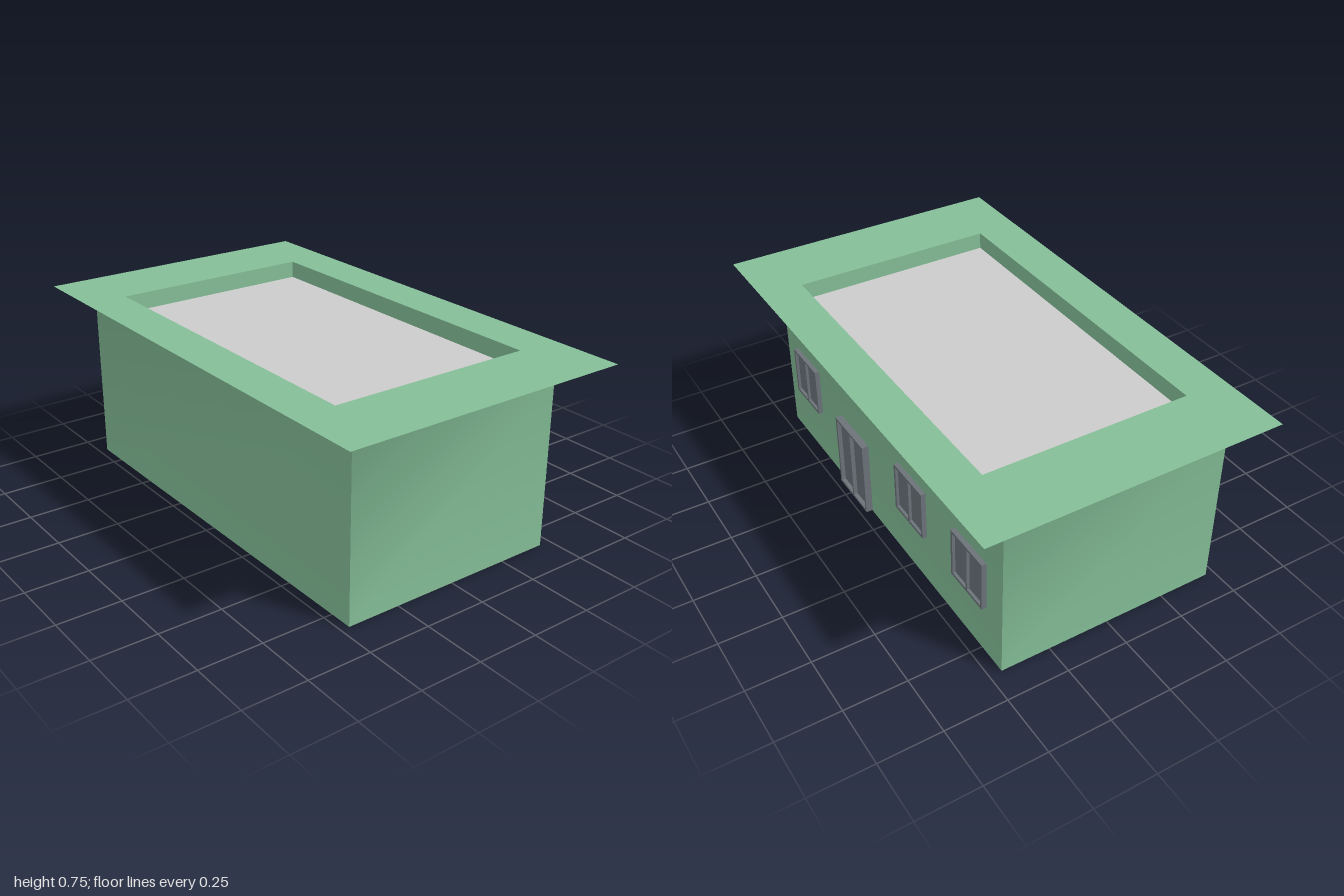
import * as THREE from 'three';

const wallPaint = new THREE.MeshStandardMaterial({ color: 0x84be97 });
const roofGrey = new THREE.MeshStandardMaterial({ color: 0xcccccc });
const darkMetal = new THREE.MeshStandardMaterial({ color: 0x6b7378 });

// Rectangles as [x0, x1, z0, z1]
const WALL = [-0.465, 0.45, -0.88, 0.845];
const EAVE = [-0.595, 0.595, -1, 1];
const WELL = [-0.42, 0.42, -0.7, 0.7];
const WALL_TOP = 0.655, EAVE_TOP = 0.745, WELL_FLOOR = 0.675;

// Corners of a rectangle, counter-clockwise seen from above
const corners = ([x0, x1, z0, z1], y) => [[x0, y, z1], [x1, y, z1], [x1, y, z0], [x0, y, z0]];

// One side of a stack of rings: rows share normals, so the bends are smooth
function sideStrip(rings, i) {
  const pos = [], index = [];
  rings.forEach((ring, r) => {
    pos.push(...ring[i], ...ring[(i + 1) % 4]);
    if (r) {
      const a = 2 * r - 2;
      index.push(a, a + 1, a + 3, a, a + 3, a + 2);
    }
  });
  const g = new THREE.BufferGeometry();
  g.setAttribute('position', new THREE.Float32BufferAttribute(pos, 3));
  g.setIndex(index);
  g.computeVertexNormals();
  return g;
}

function add(parent, name, geometry, material) {
  const mesh = new THREE.Mesh(geometry, material);
  mesh.name = name;
  parent.add(mesh);
  return mesh;
}

// Horizontal rectangle facing up or down
function slab(parent, name, [x0, x1, z0, z1], y, material, up = true) {
  const g = new THREE.PlaneGeometry(x1 - x0, z1 - z0);
  g.rotateX(up ? -Math.PI / 2 : Math.PI / 2);
  add(parent, name, g, material).position.set((x0 + x1) / 2, y, (z0 + z1) / 2);
}

const rectangle = (Type, x0, x1, y0, y1) => new Type([
  new THREE.Vector2(x0, y0), new THREE.Vector2(x1, y0),
  new THREE.Vector2(x1, y1), new THREE.Vector2(x0, y1)]);

// Two-leaf frame with recessed panes, mounted on the +x wall
function opening(name, z, y, width, height, depth) {
  const group = new THREE.Group();
  group.name = name;
  const b = 0.011, m = 0.005, w = width / 2, h = height / 2;
  const shape = rectangle(THREE.Shape, -w, w, -h, h);
  for (const [x0, x1] of [[-w + b, -m], [m, w - b]]) {
    shape.holes.push(rectangle(THREE.Path, x0, x1, -h + b, h - b));
    const pane = add(group, 'pane', new THREE.PlaneGeometry(x1 - x0, height - 2 * b), darkMetal);
    pane.position.set((x0 + x1) / 2, 0, depth * 0.4);
  }
  add(group, 'frame', new THREE.ExtrudeGeometry(shape, { depth, bevelEnabled: false }), darkMetal);
  group.rotation.y = Math.PI / 2;
  group.position.set(WALL[1], y, z);
  return group;
}

export function createModel() {
  const model = new THREE.Group();
  model.name = 'house';

  // Walls flaring out into the eaves, and the sides of the roof well
  const shell = [corners(WALL, 0), corners(WALL, WALL_TOP), corners(EAVE, EAVE_TOP)];
  const well = [corners(WELL, EAVE_TOP), corners(WELL, WELL_FLOOR)];
  const sides = ['front', 'left', 'back', 'right'];
  sides.forEach((side, i) => {
    add(model, side + 'Wall', sideStrip(shell, i), wallPaint);
    add(model, side + 'Parapet', sideStrip(well, i), wallPaint);
  });

  // Flat roof rim around the well
  const rim = rectangle(THREE.Shape, ...EAVE);
  rim.holes.push(rectangle(THREE.Path, ...WELL));
  const rimGeometry = new THREE.ShapeGeometry(rim);
  rimGeometry.rotateX(-Math.PI / 2);
  add(model, 'roofRim', rimGeometry, wallPaint).position.y = EAVE_TOP;

  // Roof floor and underside
  slab(model, 'roofFloor', WELL, WELL_FLOOR, roofGrey);
  slab(model, 'base', WALL, 0, wallPaint, false);

  // Windows and the double door
  for (const z of [0.637, -0.255, -0.673])
    model.add(opening('window', z, 0.325, 0.208, 0.208, 0.019));
  model.add(opening('door', 0.22, 0.169, 0.234, 0.328, 0.028));

  return model;
}
